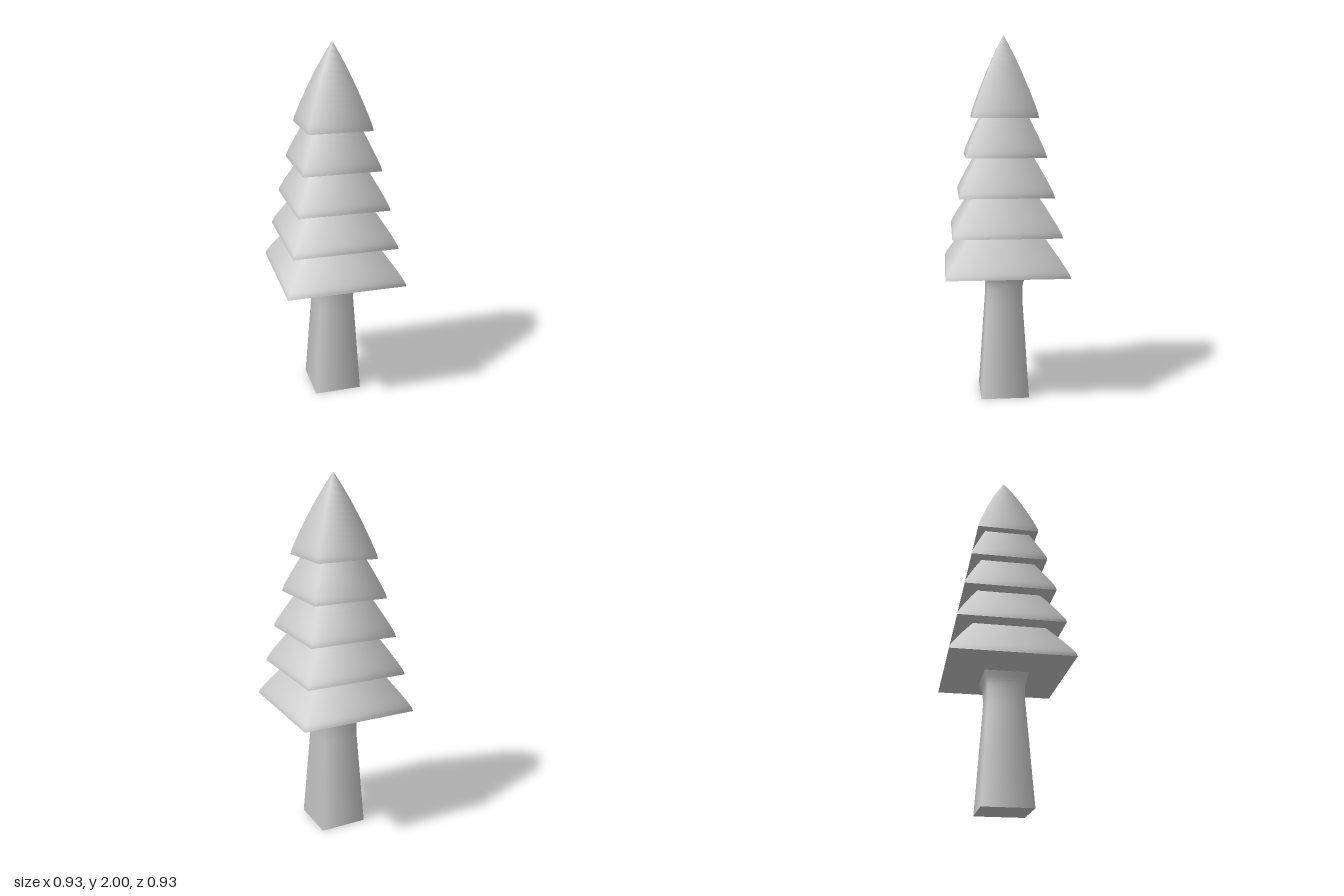
import * as THREE from 'three';

const material = new THREE.MeshStandardMaterial({ color: 0xcccccc });
const SIDES = 4;

// Smooth curve through a few [radius, height] points
function smoothProfile(points, divisions) {
  const curve = new THREE.SplineCurve(points.map(([r, y]) => new THREE.Vector2(r, y)));
  return curve.getPoints(divisions).map((p) => new THREE.Vector2(Math.max(p.x, 0), p.y));
}

// Flat square end, facing up or down
function cap(name, radius, y, up) {
  const mesh = new THREE.Mesh(new THREE.CircleGeometry(radius, SIDES), material);
  mesh.name = name;
  mesh.rotation.x = up ? -Math.PI / 2 : Math.PI / 2;
  mesh.position.y = y;
  return mesh;
}

function turned(name, profile) {
  const mesh = new THREE.Mesh(new THREE.LatheGeometry(profile, SIDES), material);
  mesh.name = name;
  return mesh;
}

export function createModel() {
  const tree = new THREE.Group();
  tree.name = 'pineTree';

  // Square trunk, tapering up to a flared collar
  const trunk = new THREE.Group();
  trunk.name = 'trunk';
  const trunkProfile = smoothProfile(
    [[0.19, 0], [0.174, 0.17], [0.159, 0.34], [0.144, 0.5], [0.138, 0.58], [0.143, 0.655], [0.169, 0.71]], 24);
  trunk.add(
    turned('trunkSides', trunkProfile),
    cap('trunkBase', 0.19, 0, false),
    cap('trunkTop', 0.169, 0.71, true));
  tree.add(trunk);

  // Five overlapping foliage tiers, each the same bowed pyramid at a smaller width
  const tierShape = [[1, 0], [0.965, 0.03], [0.83, 0.1], [0.605, 0.205], [0.33, 0.32], [0, 0.44]];
  for (let i = 0; i < 5; i++) {
    const radius = 0.463 - i * 0.0545;
    const tier = new THREE.Group();
    tier.name = `foliageTier${i + 1}`;
    tier.position.y = 0.73 + i * 0.2075;
    const profile = smoothProfile(tierShape.map(([r, y]) => [r * radius, y]), 20);
    tier.add(turned('tierSides', profile), cap('tierUnderside', radius, 0, false));
    tree.add(tier);
  }
  return tree;
}
